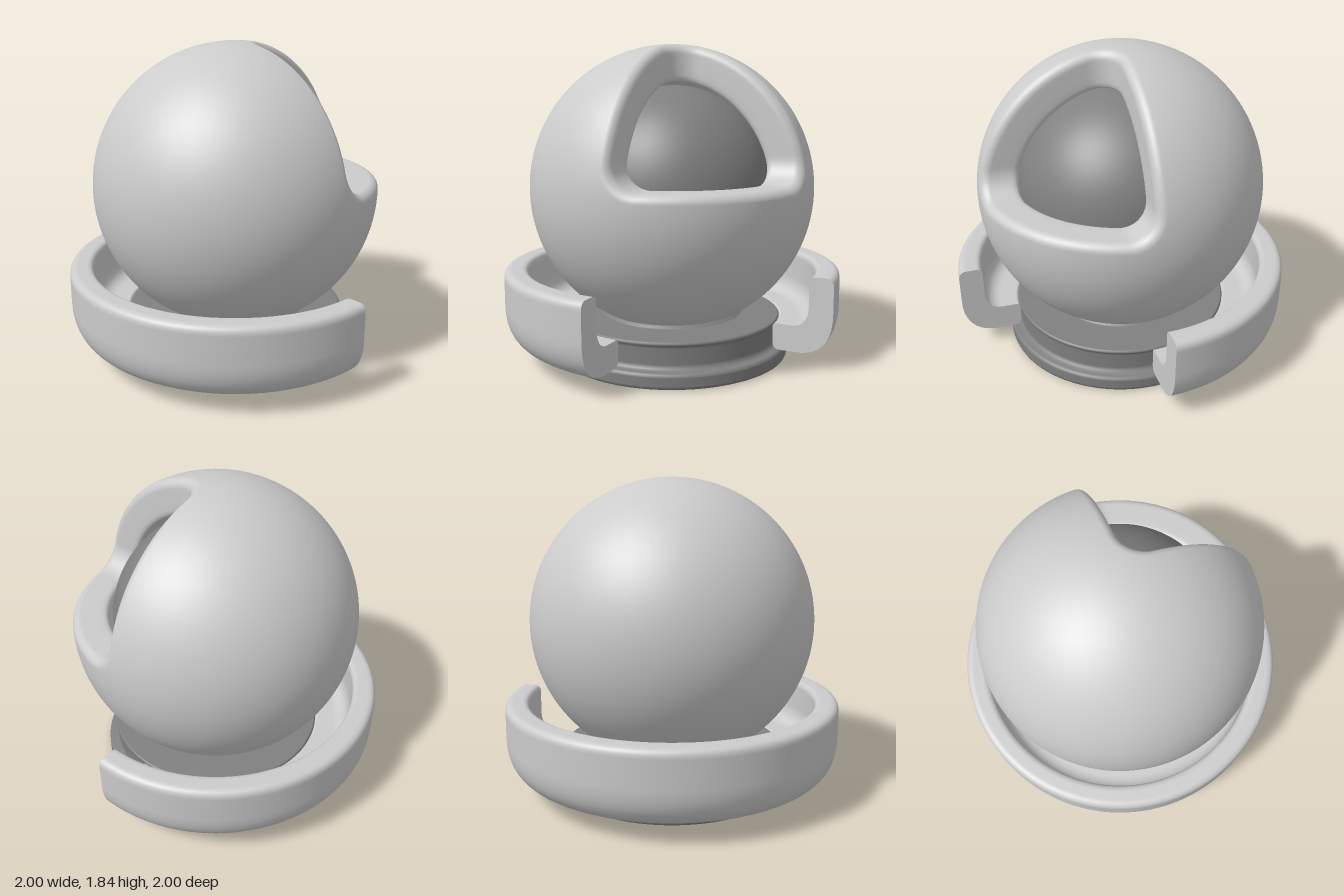
import * as THREE from 'three';

const light = new THREE.MeshStandardMaterial({ color: 0xcccccc, side: THREE.DoubleSide });
const dark = new THREE.MeshStandardMaterial({ color: 0x808080 });

const CENTRE_Y = 1.0;
const OUTER = 0.84;                                // shell radius
const INNER = 0.605;                               // core radius
const CUT = new THREE.Vector3(0.05, 0.06, 0.05);   // planes of the window, from the ball centre
const CORNER = 0.15;                               // rounding where two window planes meet
const LIP = 0.05;                                  // rounding of the window's outer edge

// Axis through the middle of the window, with two directions across it
const axis = new THREE.Vector3(1, 1, 1).normalize();
const across = new THREE.Vector3(1, 0, -1).normalize();
const up = new THREE.Vector3().crossVectors(axis, across);

function ballPoint(r, theta, phi) {
  const s = Math.sin(theta);
  return new THREE.Vector3()
    .addScaledVector(axis, r * Math.cos(theta))
    .addScaledVector(across, r * s * Math.cos(phi))
    .addScaledVector(up, r * s * Math.sin(phi));
}

// Signed distance to the rounded three-sided window (negative inside)
function windowDistance(p) {
  const d = ['x', 'y', 'z'].map((k) => Math.max(CORNER - (p[k] - CUT[k]), 0));
  return Math.hypot(...d) - CORNER;
}

// Angle from the axis at which the window, grown by `grow`, ends on a sphere of radius r
function windowAngle(r, grow, phi) {
  let lo = 0, hi = 1.6;
  for (let k = 0; k < 30; k++) {
    const mid = (lo + hi) / 2;
    if (windowDistance(ballPoint(r, mid, phi)) < grow) lo = mid;
    else hi = mid;
  }
  return lo;
}

// Shell: rows run from the far pole to the window, over its lip and down its wall
function shellGeometry() {
  const cols = 210, ballRows = 56, lipRows = 8;
  const rim = [];
  for (let k = 0; k <= lipRows; k++) {
    const t = (k / lipRows) * Math.PI / 2;
    rim.push([OUTER - LIP + LIP * Math.cos(t), LIP - LIP * Math.sin(t)]);
  }
  rim.push([0.75, 0], [0.71, 0], [0.67, 0], [0.65, 0.003], [0.636, 0.012],
    [0.628, 0.03], [0.622, 0.07], [0.6, 0.12]);

  const rows = ballRows + rim.length;
  const positions = [], index = [];
  for (let i = 0; i < rows; i++) {
    for (let j = 0; j < cols; j++) {
      const phi = (j / cols) * Math.PI * 2;
      const [r, grow] = rim[Math.max(0, i - ballRows)];
      let theta = windowAngle(r, grow, phi);
      if (i < ballRows) theta = THREE.MathUtils.lerp(Math.PI, theta, i / ballRows);
      positions.push(...ballPoint(r, theta, phi).toArray());
      if (i < rows - 1) {
        const n = (j + 1) % cols;
        const a = i * cols + j, b = i * cols + n;
        index.push(a, b, a + cols, b, b + cols, a + cols);
      }
    }
  }
  const g = new THREE.BufferGeometry();
  g.setAttribute('position', new THREE.Float32BufferAttribute(positions, 3));
  g.setIndex(index);
  g.computeVertexNormals();
  return g;
}

// Cross-section of the tray ring
function traySection() {
  const s = new THREE.Shape();
  s.moveTo(0.65, 0.13);
  s.quadraticCurveTo(0.655, 0.09, 0.69, 0.09);
  s.lineTo(0.8, 0.09);
  s.bezierCurveTo(0.93, 0.095, 1.0, 0.18, 1.0, 0.33);
  s.lineTo(1.0, 0.49);
  s.quadraticCurveTo(1.0, 0.54, 0.95, 0.54);
  s.lineTo(0.9, 0.54);
  s.quadraticCurveTo(0.86, 0.54, 0.86, 0.5);
  s.lineTo(0.86, 0.36);
  s.bezierCurveTo(0.86, 0.29, 0.825, 0.245, 0.76, 0.245);
  s.lineTo(0.67, 0.245);
  s.quadraticCurveTo(0.65, 0.245, 0.65, 0.225);
  s.closePath();
  return s;
}

export function createModel() {
  const model = new THREE.Group();
  const add = (name, geometry, material, parent = model) => {
    const mesh = new THREE.Mesh(geometry, material);
    mesh.name = name;
    parent.add(mesh);
    return mesh;
  };

  // Ball with a window onto its core
  add('ballShell', shellGeometry(), light).position.y = CENTRE_Y;
  add('innerCore', new THREE.SphereGeometry(INNER, 96, 64), dark).position.y = CENTRE_Y;

  // Pedestal: foot, waisted neck and seat for the ball
  const pedestal = [
    [0, 0], [0.68, 0], [0.685, 0.001], [0.695, 0.006], [0.7, 0.018], [0.7, 0.022],
    [0.7, 0.07], [0.7, 0.074], [0.695, 0.085], [0.685, 0.09], [0.68, 0.09],
    [0.66, 0.092], [0.645, 0.1], [0.64, 0.115], [0.64, 0.12], [0.64, 0.21], [0.642, 0.222],
    [0.65, 0.23], [0.65, 0.238], [0.645, 0.245], [0.64, 0.246],
    [0.43, 0.248], [0.42, 0.252], [0.412, 0.264], [0.4, 0.266], [0.3, 0.266],
  ].map(([r, y]) => new THREE.Vector2(r, y));
  add('pedestal', new THREE.LatheGeometry(pedestal, 128), dark);

  // Tray ring, open over the front left quarter, with flat end faces
  const tray = new THREE.Group();
  tray.name = 'tray';
  model.add(tray);
  const section = traySection();
  add('trayRing', new THREE.LatheGeometry(section.getPoints(10), 120, Math.PI / 2, Math.PI * 1.5), light, tray);
  for (const [name, turn] of [['trayEndLeft', 0], ['trayEndFront', -Math.PI / 2]]) {
    add(name, new THREE.ShapeGeometry(section, 10), light, tray).rotation.y = turn;
  }
  return model;
}
